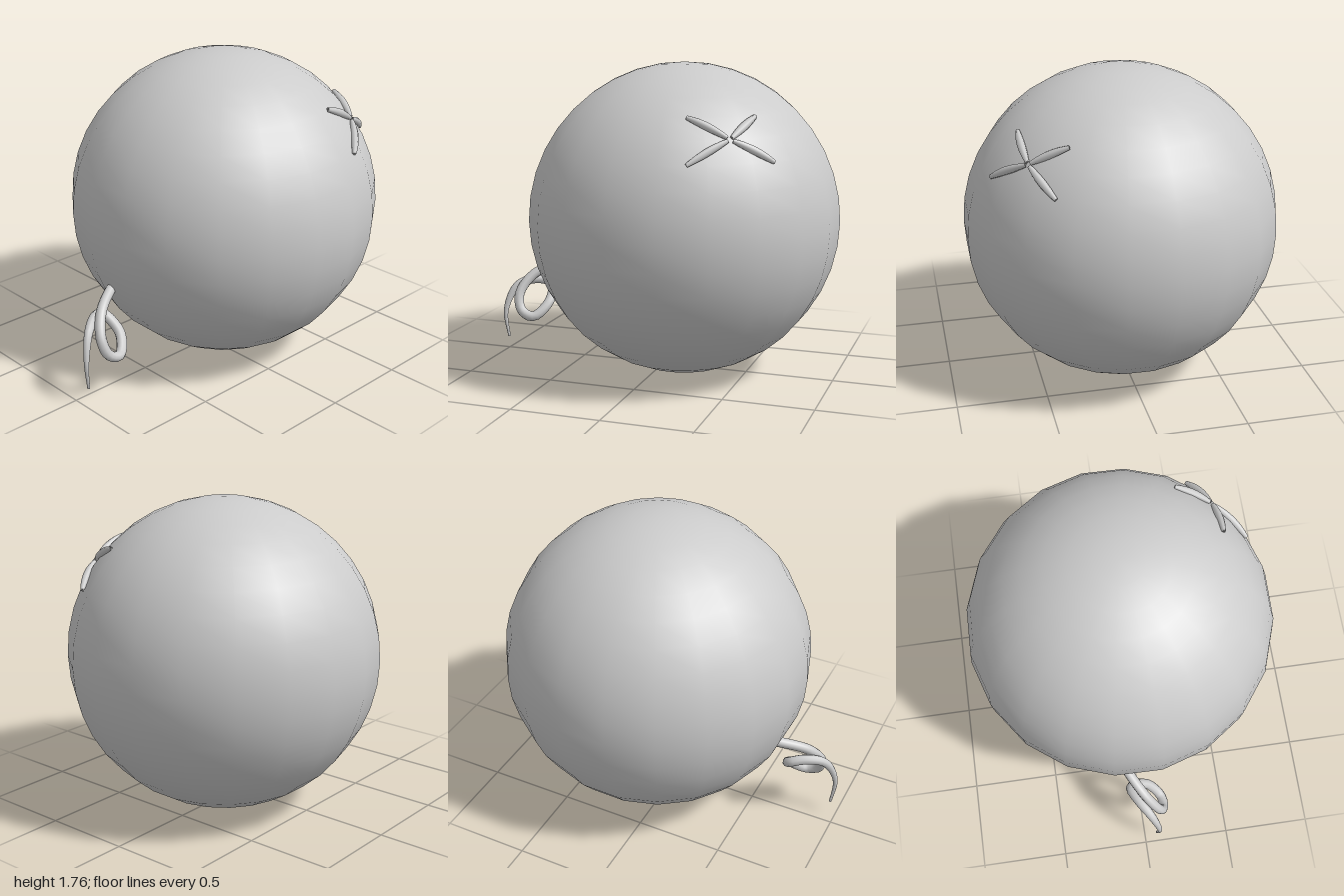
import * as THREE from 'three';

const material = new THREE.MeshStandardMaterial({ color: 0xcccccc });
const vec = (p) => new THREE.Vector3(...p);

// Tube along a curve whose radius follows radiusAt(t); both ends are closed.
function taperedTube(curve, segments, sides, radiusAt) {
  const geometry = new THREE.TubeGeometry(curve, segments, 1, sides, false);
  const pos = geometry.attributes.position;
  const normal = geometry.attributes.normal;
  for (let i = 0; i <= segments; i++) {
    const t = i / segments;
    // the first and last rings collapse onto their neighbours as flat caps
    const s = i === 0 ? 1 / segments : i === segments ? 1 - 1 / segments : t;
    const centre = curve.getPointAt(s);
    const r = i === 0 || i === segments ? 0 : radiusAt(t);
    for (let j = 0; j <= sides; j++) {
      const k = i * (sides + 1) + j;
      pos.setXYZ(k,
        centre.x + normal.getX(k) * r,
        centre.y + normal.getY(k) * r,
        centre.z + normal.getZ(k) * r);
    }
  }
  return geometry;
}

function part(name, geometry) {
  const mesh = new THREE.Mesh(geometry, material);
  mesh.name = name;
  return mesh;
}

export function createModel() {
  const model = new THREE.Group();
  model.name = 'ballBodyWithCurlyTail';
  const centre = new THREE.Vector3(0.125, 0.89, 0);
  const radius = 0.88;

  // Round body
  const body = part('body', new THREE.SphereGeometry(radius, 20, 20));
  body.position.copy(centre);
  body.rotation.y = THREE.MathUtils.degToRad(-10);
  model.add(body);

  // Cross mark: four spindle arms that bend along the body
  const mark = new THREE.Group();
  mark.name = 'crossMark';
  const middle = new THREE.Vector3(0.555, 1.415, 0.58);
  const tips = [[0.31, 1.52, 0.59], [0.63, 1.515, 0.36], [0.765, 1.28, 0.46], [0.36, 1.28, 0.75]];
  for (const tip of tips) {
    const points = [0, 0.25, 0.5, 0.75, 1].map((t) =>
      middle.clone().lerp(vec(tip), t).sub(centre).setLength(radius + 0.004).add(centre));
    const curve = new THREE.CatmullRomCurve3(points);
    const arm = taperedTube(curve, 16, 8, (t) => 0.009 + 0.013 * Math.sin(Math.PI * t));
    mark.add(part('crossArm', arm));
  }
  model.add(mark);

  // Curly tail: one loop, then a tapering end that hangs down
  const path = new THREE.CatmullRomCurve3([
    [-0.62, 0.565, -0.09], [-0.69, 0.55, -0.06], [-0.82, 0.487, 0.02], [-0.88, 0.38, 0.09],
    [-0.855, 0.285, 0.12], [-0.78, 0.255, 0.12], [-0.71, 0.335, 0.04],
    [-0.74, 0.425, -0.06], [-0.82, 0.45, -0.03], [-0.92, 0.415, 0.035],
    [-0.978, 0.27, 0.08], [-0.962, 0.08, 0.07],
  ].map(vec));
  const tailRadius = (t) => THREE.MathUtils.lerp(0.029, 0.008, THREE.MathUtils.smoothstep(t, 0.65, 1));
  model.add(part('curlyTail', taperedTube(path, 60, 10, tailRadius)));

  return model;
}
